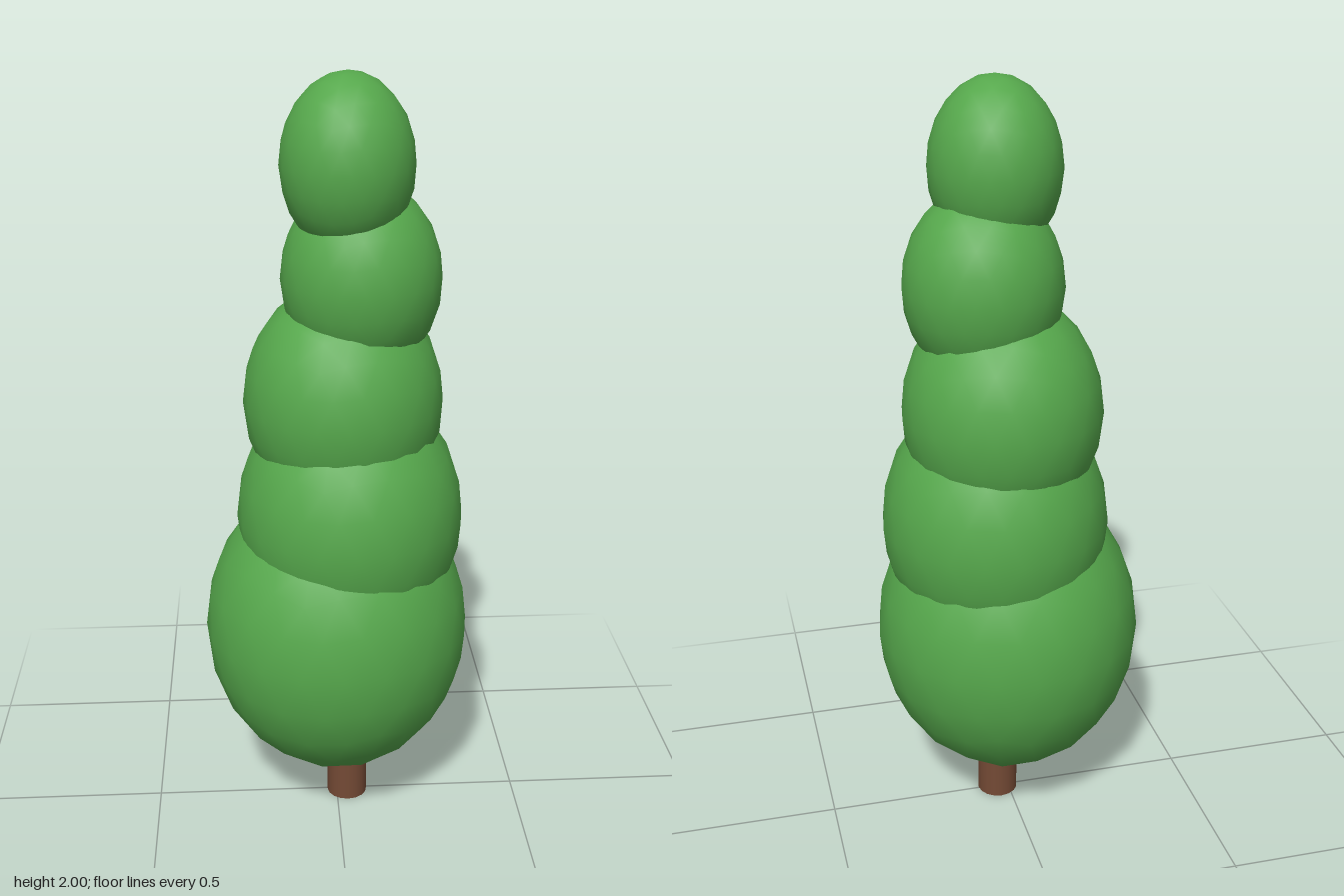
import * as THREE from 'three';

export function createModel() {
  const tree = new THREE.Group();
  tree.name = 'tree';

  const leafGreen = new THREE.MeshStandardMaterial({ color: 0x56a84c });
  leafGreen.name = 'leafGreen';
  const barkBrown = new THREE.MeshStandardMaterial({ color: 0x744a35 });
  barkBrown.name = 'barkBrown';

  // Foliage: stacked egg-shaped clumps [centre x, y, z, radius x, y, z]
  const clumps = [
    [0.0, 0.543, 0.0, 0.352, 0.418, 0.344],
    [0.035, 0.86, -0.004, 0.297, 0.36, 0.301],
    [0.018, 1.17, -0.02, 0.258, 0.313, 0.26],
    [0.062, 1.495, -0.005, 0.203, 0.25, 0.2],
    [0.025, 1.78, 0.021, 0.166, 0.22, 0.174],
  ];
  const foliage = new THREE.Group();
  foliage.name = 'foliage';
  clumps.forEach(([x, y, z, rx, ry, rz], i) => {
    const geometry = new THREE.IcosahedronGeometry(1, 3);
    geometry.rotateZ(Math.atan(2 / (1 + Math.sqrt(5)))); // one corner points straight up
    geometry.scale(rx, ry, rz);
    const clump = new THREE.Mesh(geometry, leafGreen);
    clump.name = `foliageClump${i + 1}`;
    clump.position.set(x, y, z);
    foliage.add(clump);
  });
  tree.add(foliage);

  // Trunk, running up into the lowest clump
  const trunk = new THREE.Mesh(new THREE.CylinderGeometry(0.055, 0.055, 0.3, 16), barkBrown);
  trunk.name = 'trunk';
  trunk.position.set(0.029, 0.15, 0.003);
  tree.add(trunk);

  return tree;
}
